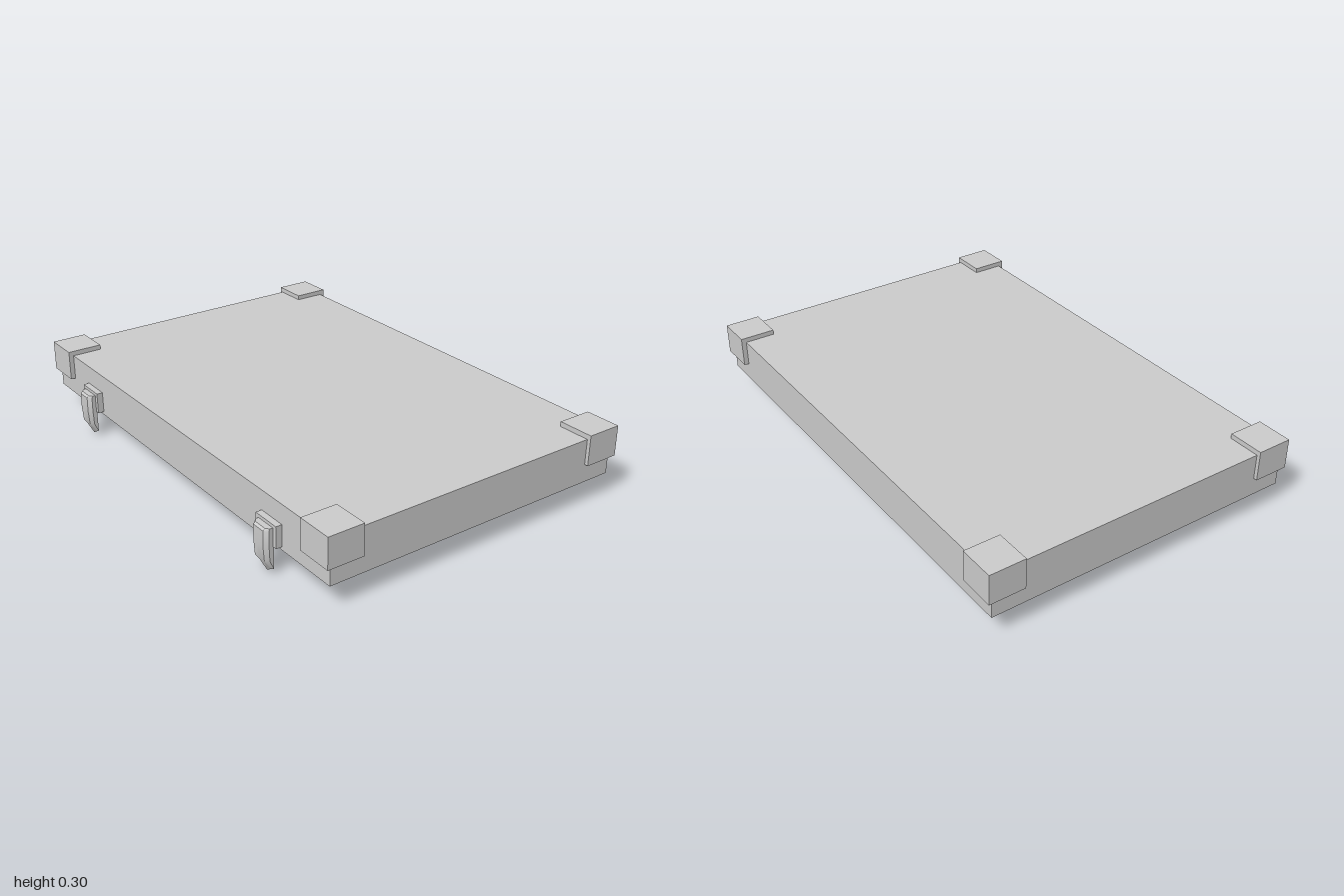
import * as THREE from 'three';
import { toCreasedNormals } from 'three/addons/utils/BufferGeometryUtils.js';

const grey = new THREE.MeshStandardMaterial({ color: 0xcccccc });
grey.name = 'plain grey';

function add(parent, name, geometry) {
  const mesh = new THREE.Mesh(geometry, grey);
  mesh.name = name;
  parent.add(mesh);
  return mesh;
}

// Box given by its lowest and highest corners
function block(parent, name, [x0, y0, z0], [x1, y1, z1]) {
  const g = new THREE.BoxGeometry(Math.abs(x1 - x0), Math.abs(y1 - y0), Math.abs(z1 - z0));
  g.translate((x0 + x1) / 2, (y0 + y1) / 2, (z0 + z1) / 2);
  return add(parent, name, g);
}

function rectangle(Type, hx, hz) {
  const s = new Type();
  s.moveTo(-hx, -hz);
  s.lineTo(hx, -hz);
  s.lineTo(hx, hz);
  s.lineTo(-hx, hz);
  s.closePath();
  return s;
}

// Curved hasp: chamfered cross-sections lofted down to a pointed tip
function haspGeometry() {
  const back = 0.657, half = 0.043;
  // height, depth in front of the back, how far the middle dips into the point
  const rows = [[0.188, 0.026, 0], [0.18, 0.034, 0], [0.12, 0.035, 0], [0.06, 0.03, 0.006], [0.025, 0.001, 0.025]];
  // across, forward (as fractions), counter-clockwise seen from above
  const section = [[-1, 0], [-1, 0.55], [-0.68, 1], [0, 1], [0.68, 1], [1, 0.55], [1, 0], [0, 0]];
  const n = section.length, points = [], index = [];
  for (const [y, depth, dip] of rows)
    for (const [u, f] of section) points.push(u * half, y - dip * (1 - Math.abs(u)), back + f * depth);
  for (let r = 0; r < rows.length - 1; r++)
    for (let i = 0; i < n; i++) {
      const a = r * n + i, b = r * n + (i + 1) % n;
      index.push(a, a + n, b, b, a + n, b + n);
    }
  const last = (rows.length - 1) * n;
  for (let i = 1; i < n - 1; i++) {
    index.push(0, i, i + 1);
    index.push(last, last + i + 1, last + i);
  }
  const g = new THREE.BufferGeometry();
  g.setAttribute('position', new THREE.Float32BufferAttribute(points, 3));
  g.setIndex(index);
  return toCreasedNormals(g, 0.5);
}

export function createModel() {
  const model = new THREE.Group();
  model.name = 'caseLid';

  const hx = 0.985, hz = 0.655, midZ = -0.02;
  const bottom = 0.1, ceiling = 0.22, top = 0.28, wall = 0.05;

  // Hollow lid, open underneath
  const frame = rectangle(THREE.Shape, hx, hz);
  frame.holes.push(rectangle(THREE.Path, hx - wall, hz - wall));
  const rim = new THREE.ExtrudeGeometry(frame, { depth: ceiling - bottom, bevelEnabled: false });
  rim.rotateX(-Math.PI / 2).translate(0, bottom, midZ);
  add(model, 'lidWalls', rim);
  block(model, 'lidPanel', [-hx, ceiling, midZ - hz], [hx, top, midZ + hz]);

  // Corner protectors wrapping the top and both sides
  for (const sx of [-1, 1])
    for (const sz of [-1, 1]) {
      const corner = new THREE.Group();
      corner.name = (sz > 0 ? 'front' : 'back') + (sx > 0 ? 'Left' : 'Right') + 'Corner';
      const outZ = midZ + sz * 0.675, inZ = midZ + sz * 0.527, faceZ = midZ + sz * hz;
      block(corner, 'cornerTop', [sx * 0.85, top, inZ], [sx, 0.3, outZ]);
      block(corner, 'cornerSide', [sx * hx, 0.175, inZ], [sx, top, outZ]);
      block(corner, 'cornerFace', [sx * 0.85, 0.175, faceZ], [sx * hx, top, outZ]);
      model.add(corner);
    }

  // Latches on the front
  for (const sx of [-1, 1]) {
    const latch = new THREE.Group();
    latch.name = sx > 0 ? 'leftLatch' : 'rightLatch';
    latch.position.x = sx * 0.655;
    block(latch, 'latchPlate', [-0.061, 0.114, midZ + hz], [0.061, 0.201, 0.66]);
    add(latch, 'latchHasp', haspGeometry());
    model.add(latch);
  }

  return model;
}
